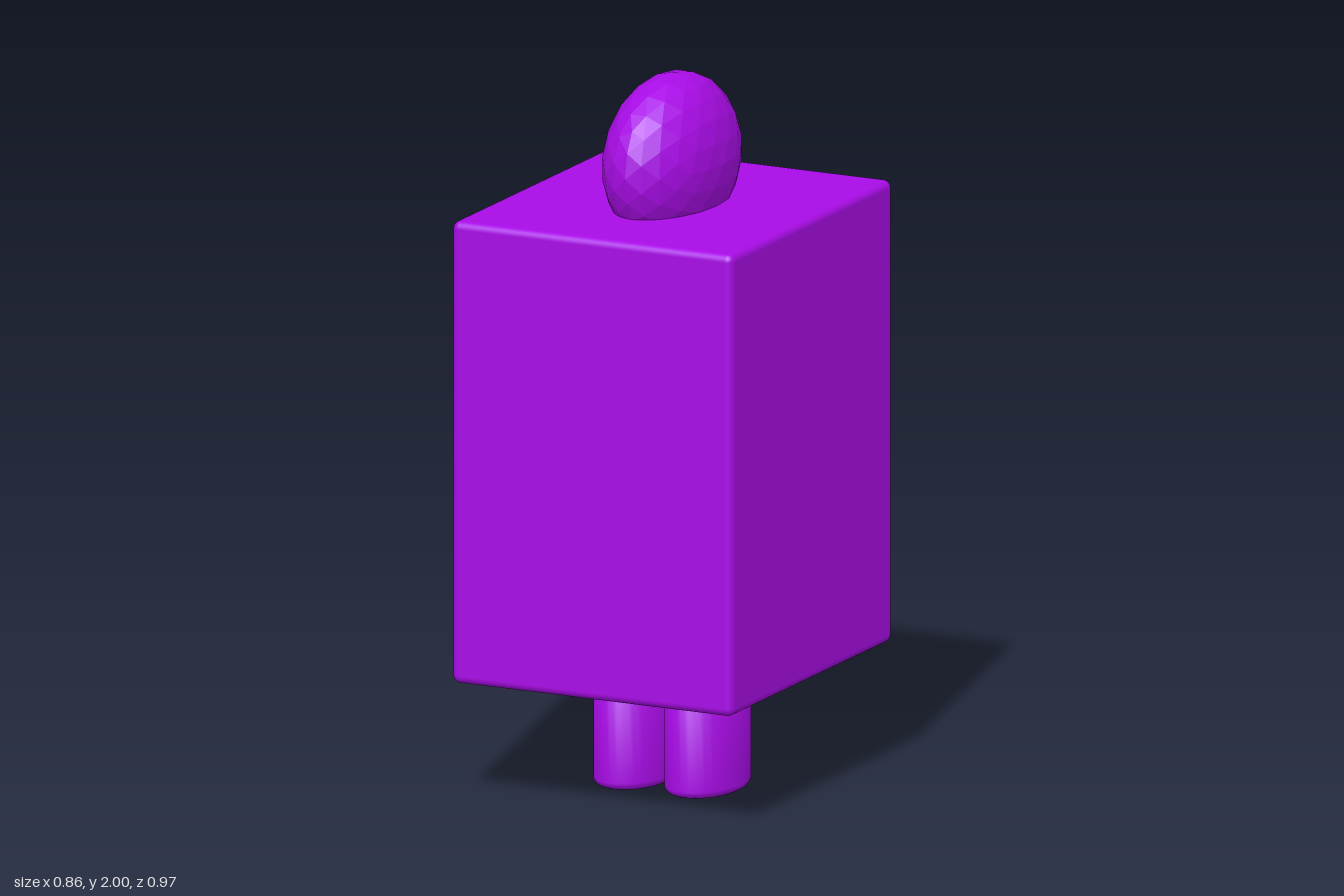
import * as THREE from 'three';
import { RoundedBoxGeometry } from 'three/addons/geometries/RoundedBoxGeometry.js';

export function createModel() {
  const model = new THREE.Group();
  const smooth = new THREE.MeshStandardMaterial({ color: 0xa80ce6 });
  const faceted = new THREE.MeshStandardMaterial({ color: 0xa80ce6, flatShading: true });

  const add = (name, geometry, material, x, y, z) => {
    const mesh = new THREE.Mesh(geometry, material);
    mesh.name = name;
    mesh.position.set(x, y, z);
    model.add(mesh);
    return mesh;
  };

  // Block body with softened edges
  add('body', new RoundedBoxGeometry(0.86, 1.3, 0.97, 4, 0.022), smooth, 0, 0.99, 0);

  // Faceted egg-shaped head, narrow from the front and sunk into the body
  const head = new THREE.IcosahedronGeometry(1, 3);
  head.scale(0.16, 0.24, 0.282);
  add('head', head, faceted, 0, 1.76, 0);

  // Oval legs with a rounded lower rim
  const r = 0.105, bevel = 0.022;
  const profile = [new THREE.Vector2(0, 0)];
  for (let i = 0; i <= 4; i++) {
    const a = (i / 4) * Math.PI / 2;
    profile.push(new THREE.Vector2(r - bevel + bevel * Math.sin(a), bevel - bevel * Math.cos(a)));
  }
  profile.push(new THREE.Vector2(r, 0.36), new THREE.Vector2(0, 0.36));
  const leg = new THREE.LatheGeometry(profile, 32);
  leg.scale(1, 1, 0.16 / r);
  for (const [name, side] of [['leftLeg', 1], ['rightLeg', -1]]) {
    add(name, leg, smooth, side * 0.109, 0, 0);
  }

  return model;
}
